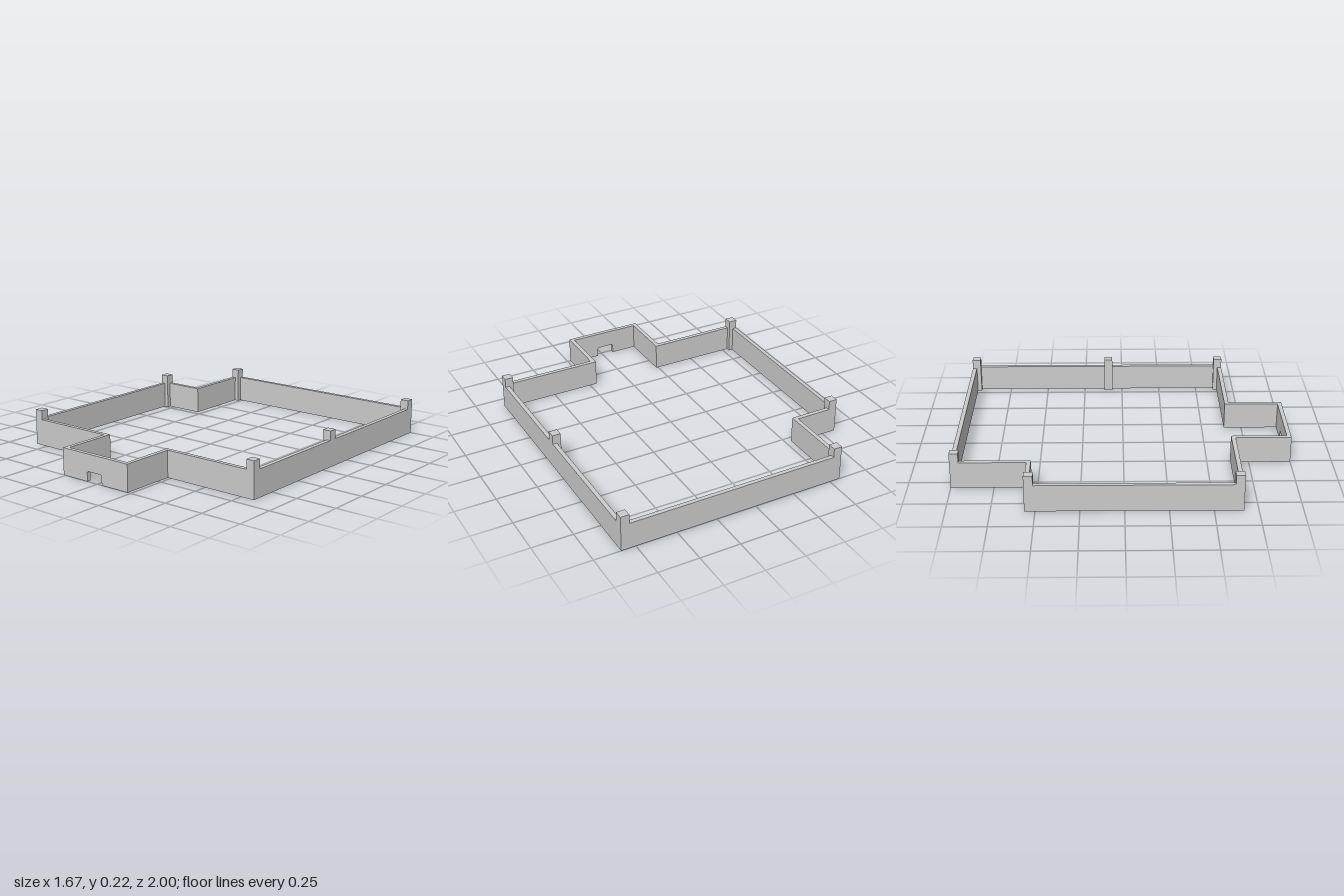
import * as THREE from 'three';

const WALL_HEIGHT = 0.163, THICKNESS = 0.026, POST_HEIGHT = 0.22, POST_SIZE = 0.052;
const SIDE = 0.837, FRONT = 0.667, BACK = -1, NOTCH_X = -0.565, NOTCH_Z = -0.56;
const PORCH_LEFT = 0.23, PORCH_RIGHT = -0.263, PORCH_FRONT = 1;

// Closed floor outline of a wall that follows a right-angled path, thickened to one side
function wallShape(path, t) {
  const inner = path.map(([x, z], i) => {
    let px = x, pz = z;
    for (const k of [i - 1, i]) {
      if (k < 0 || k >= path.length - 1) continue;
      const dx = path[k + 1][0] - path[k][0], dz = path[k + 1][1] - path[k][1];
      px += Math.sign(dz) * t;
      pz -= Math.sign(dx) * t;
    }
    return [px, pz];
  });
  return new THREE.Shape([...path, ...inner.reverse()].map(([x, z]) => new THREE.Vector2(x, -z)));
}

export function createModel() {
  const group = new THREE.Group();
  const material = new THREE.MeshStandardMaterial({ color: 0xcccccc, flatShading: true });
  const add = (name, geometry, x = 0, y = 0, z = 0) => {
    const mesh = new THREE.Mesh(geometry, material);
    mesh.name = name;
    mesh.position.set(x, y, z);
    group.add(mesh);
  };

  // Perimeter wall, running from one side of the porch round to the other
  const porchEnd = PORCH_FRONT - THICKNESS;
  const path = [
    [PORCH_LEFT, porchEnd], [PORCH_LEFT, FRONT], [SIDE, FRONT], [SIDE, BACK],
    [NOTCH_X, BACK], [NOTCH_X, NOTCH_Z], [-SIDE, NOTCH_Z], [-SIDE, FRONT],
    [PORCH_RIGHT, FRONT], [PORCH_RIGHT, porchEnd],
  ];
  const perimeter = new THREE.ExtrudeGeometry(wallShape(path, THICKNESS), { depth: WALL_HEIGHT, bevelEnabled: false });
  perimeter.rotateX(-Math.PI / 2);
  add('perimeterWall', perimeter);

  // Porch front wall with a small opening at the ground
  const x0 = -0.076, x1 = 0.035, top = 0.06, c = 0.007;
  const porch = new THREE.Shape([
    [PORCH_RIGHT, 0], [x0, 0], [x0, top - c], [x0 + c, top], [x1 - c, top], [x1, top - c], [x1, 0],
    [PORCH_LEFT, 0], [PORCH_LEFT, WALL_HEIGHT], [PORCH_RIGHT, WALL_HEIGHT],
  ].map(([x, y]) => new THREE.Vector2(x, y)));
  add('porchFrontWall', new THREE.ExtrudeGeometry(porch, { depth: THICKNESS, bevelEnabled: false }), 0, 0, porchEnd);

  // Square posts inside the corners and along the left wall
  const h = POST_SIZE / 2;
  const posts = {
    backRightPost: [NOTCH_X + h, BACK + h],
    backLeftPost: [SIDE - h, BACK + h],
    notchPost: [-SIDE + h, NOTCH_Z + h],
    frontRightPost: [-SIDE + h, FRONT - h],
    frontLeftPost: [SIDE - h, FRONT - h],
    leftMiddlePost: [SIDE - h, -0.091],
  };
  const postGeometry = new THREE.BoxGeometry(POST_SIZE, POST_HEIGHT, POST_SIZE);
  for (const [name, [x, z]] of Object.entries(posts)) add(name, postGeometry, x, POST_HEIGHT / 2, z);

  return group;
}
